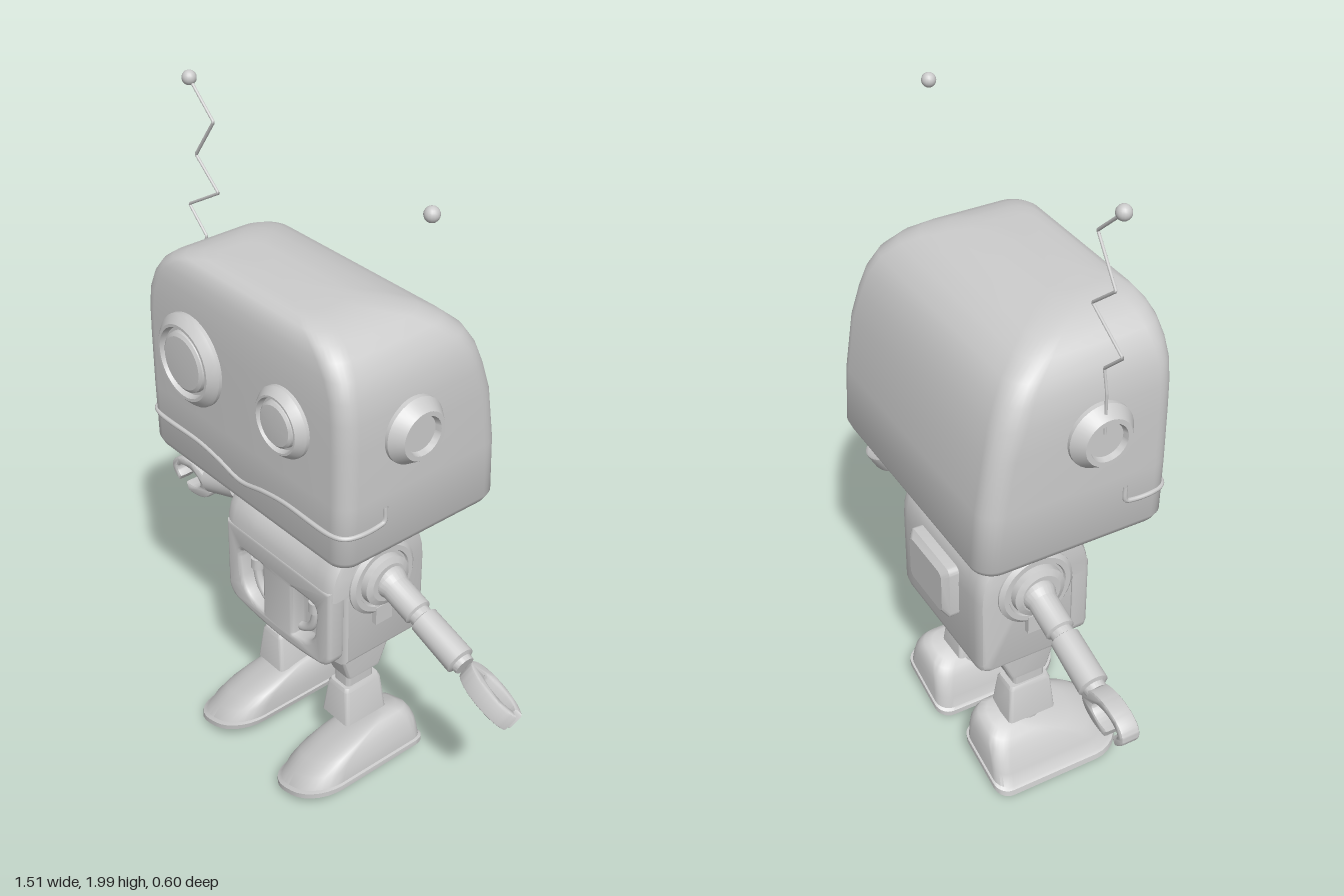
import * as THREE from 'three';
import { toCreasedNormals } from 'three/addons/utils/BufferGeometryUtils.js';

const MAT = new THREE.MeshStandardMaterial({ color: 0xcccccc, side: THREE.DoubleSide });
const CX = -0.017; // the body's own middle
const V = (x, y, z) => new THREE.Vector3(x, y, z);
const rad = THREE.MathUtils.degToRad;

function add(parent, name, geo, x = 0, y = 0, z = 0, crease = 0.6) {
  const mesh = new THREE.Mesh(crease ? toCreasedNormals(geo, crease) : geo, MAT);
  mesh.name = name;
  mesh.position.set(x, y, z);
  parent.add(mesh);
  return mesh;
}

// Skin over closed rings of equal length, with capped ends
function loft(rings) {
  const n = rings[0].length, pos = [], idx = [];
  const mid = (r) => r.reduce((s, p) => s.add(p), V(0, 0, 0)).divideScalar(n);
  rings.flat().forEach((p) => pos.push(p.x, p.y, p.z));
  const last = (rings.length - 1) * n, c0 = rings.length * n;
  [mid(rings[0]), mid(rings[rings.length - 1])].forEach((p) => pos.push(p.x, p.y, p.z));
  for (let j = 0; j < n; j++) {
    const k = (j + 1) % n;
    for (let i = 0; i < last; i += n) idx.push(i + j, i + k, i + n + k, i + j, i + n + k, i + n + j);
    idx.push(c0, k, j, c0 + 1, last + j, last + k);
  }
  const geo = new THREE.BufferGeometry();
  geo.setAttribute('position', new THREE.Float32BufferAttribute(pos, 3));
  geo.setIndex(idx);
  return geo;
}

// Horizontal rounded-rectangle ring: half width, front z, back z, front and back corner radii
function slice(y, hw, zf, zb, rf, rb, dx = 0) {
  const pts = [], S = 7;
  const corners = [[1, zb, rb, 1], [-1, zb, rb, 1], [-1, zf, rf, -1], [1, zf, rf, -1]];
  corners.forEach(([sx, z, r, sz], q) => {
    for (let i = 0; i <= S; i++) {
      const a = (q + i / S) * Math.PI / 2;
      pts.push(V(dx + sx * (hw - r) + r * Math.cos(a), y, z + sz * r - r * Math.sin(a)));
    }
  });
  return pts;
}

const lathe = (pts, seg = 36) => new THREE.LatheGeometry(pts.map(([r, t]) => new THREE.Vector2(r, t)), seg);
const tube = (pts, r, seg = 60) => new THREE.TubeGeometry(new THREE.CatmullRomCurve3(pts), seg, r, 8);

function buildHead() {
  const head = new THREE.Group();
  head.name = 'head';
  const rows = [ // y, half width, front, back, corner radii
    [0.985, 0.39, 0.24, -0.27, 0.04, 0.05], [0.99, 0.405, 0.255, -0.285, 0.05, 0.06],
    [1.01, 0.415, 0.263, -0.293, 0.05, 0.06], [1.18, 0.418, 0.264, -0.282, 0.05, 0.06],
    [1.34, 0.418, 0.264, -0.257, 0.05, 0.06], [1.42, 0.416, 0.264, -0.236, 0.05, 0.07],
    [1.48, 0.408, 0.263, -0.214, 0.05, 0.07], [1.53, 0.391, 0.26, -0.184, 0.055, 0.07],
    [1.57, 0.363, 0.256, -0.138, 0.06, 0.07], [1.597, 0.327, 0.248, -0.09, 0.06, 0.07],
    [1.615, 0.285, 0.237, -0.03, 0.06, 0.07], [1.625, 0.24, 0.215, 0.02, 0.06, 0.06],
    [1.628, 0.2, 0.19, 0.05, 0.05, 0.05]];
  add(head, 'headShell', loft(rows.map((r) => slice(...r))), 0, 0, 0, 0.8);

  // Mouth line wrapping round to both cheeks
  const half = [[0.418, 1.145, 0.125], [0.418, 1.1, 0.128], [0.418, 1.093, 0.15], [0.418, 1.093, 0.21],
    [0.404, 1.093, 0.248], [0.37, 1.093, 0.264], [0.18, 1.091, 0.264], [0.1, 1.08, 0.264]];
  const path = [...half.map(([x, y, z]) => V(-x, y, z)), V(0, 1.06, 0.264),
    ...half.reverse().map(([x, y, z]) => V(x, y, z))];
  add(head, 'mouthLine', tube(path, 0.007, 160), 0, 0, 0, 0);

  // Eyes of unequal size
  for (const [name, x, R] of [['rightEye', -0.198, 0.132], ['leftEye', 0.192, 0.098]]) {
    const eye = lathe([[R, -0.02], [R, 0.012], [R * 0.95, 0.02], [R * 0.82, 0.035], [R * 0.76, 0.035],
      [R * 0.72, 0.018], [R * 0.66, 0.018], [R * 0.64, 0.03], [R * 0.57, 0.036], [0, 0.04]]);
    add(head, name, eye.rotateX(Math.PI / 2), x, 1.344, 0.262, 0.4);
  }

  // Ear caps
  for (const s of [1, -1]) {
    const ear = lathe([[0.095, -0.02], [0.093, 0.012], [0.068, 0.047], [0.055, 0.047], [0.05, 0.03], [0, 0.03]]);
    add(head, s > 0 ? 'leftEar' : 'rightEar', ear.rotateZ(-s * Math.PI / 2), s * 0.415, 1.341, 0.04, 0.4);
  }
  return head;
}

function buildAntennas(g) {
  const zig = [[-0.462, 1.36], [-0.461, 1.48], [-0.446, 1.543], [-0.52, 1.612], [-0.383, 1.691],
    [-0.478, 1.77], [-0.393, 1.887], [-0.493, 1.977]].map(([x, y]) => V(x, y, 0.036));
  const wire = new THREE.CurvePath();
  zig.slice(1).forEach((p, i) => wire.add(new THREE.LineCurve3(zig[i], p)));
  add(g, 'antennaWire', new THREE.TubeGeometry(wire, 140, 0.0045, 6), 0, 0, 0, 0);
  const ball = () => new THREE.SphereGeometry(0.02, 16, 12);
  add(g, 'rightAntennaBall', ball(), -0.493, 1.978, 0.036, 0);
  add(g, 'leftAntennaBall', ball(), 0.432, 1.93, 0.038, 0);
}

function buildTorso() {
  const torso = new THREE.Group();
  torso.name = 'torso';
  // Side profile: arched top, with a step in front that the belly plate fills
  const profile = [[0.1, 0.465], [-0.18, 0.465], [-0.195, 0.475], [-0.2, 0.495]];
  for (let i = 0; i <= 16; i++) {
    const a = i / 16 * Math.PI;
    profile.push([-0.025 - 0.175 * Math.cos(a), 0.725 + 0.183 * Math.sin(a) ** 0.85]);
  }
  profile.push([0.1, 0.725]);
  const stations = [[-0.24, 0.9, 0], [-0.235, 0.95, 0], [-0.222, 0.985, 0], [-0.2, 1, 0], [-0.165, 1, 0], [-0.11, 1, 1]];
  const all = [...stations, ...stations.map(([x, s, d]) => [-x, s, d]).reverse()];
  const rings = all.map(([x, s, d]) => profile.map(([z, y]) => V(x,
    0.68 + (y - 0.68) * s - d * 0.025 * Math.max(0, (y - 0.78) / 0.13), -0.025 + (z + 0.025) * s)));
  add(torso, 'torsoShell', loft(rings));

  // Belly plate with two openings
  const plate = new THREE.Shape();
  plate.moveTo(-0.22, 0.74).lineTo(-0.22, 0.53).quadraticCurveTo(-0.22, 0.5, -0.19, 0.49)
    .quadraticCurveTo(0, 0.455, 0.19, 0.49).quadraticCurveTo(0.22, 0.5, 0.22, 0.53).lineTo(0.22, 0.74);
  for (const s of [1, -1]) {
    const hole = new THREE.Path();
    hole.moveTo(s * 0.055, 0.675).quadraticCurveTo(s * 0.055, 0.69, s * 0.075, 0.69)
      .lineTo(s * 0.15, 0.69).quadraticCurveTo(s * 0.188, 0.69, s * 0.186, 0.64)
      .lineTo(s * 0.178, 0.575).quadraticCurveTo(s * 0.165, 0.51, s * 0.1, 0.5)
      .lineTo(s * 0.07, 0.495).quadraticCurveTo(s * 0.055, 0.495, s * 0.055, 0.51).closePath();
    plate.holes.push(hole);
    // Pipe seen inside the opening
    const p = [[0.132, 0.7], [0.132, 0.6], [0.115, 0.555], [0.085, 0.53], [0.04, 0.52]];
    add(torso, 'bellyPipe', tube(p.map(([x, y]) => V(s * x, y, 0.115)), 0.014, 24), 0, 0, 0, 0);
    add(torso, 'pipeCollar', new THREE.CylinderGeometry(0.021, 0.021, 0.035, 16), s * 0.132, 0.635, 0.115);
  }
  add(torso, 'bellyPlate', new THREE.ExtrudeGeometry(plate, {
    depth: 0.03, bevelThickness: 0.014, bevelSize: 0.013, bevelSegments: 3, curveSegments: 8 }), 0, 0, 0.107);

  // Back pack panel
  const pack = [[0, 0.115, 0.088], [0.03, 0.115, 0.088], [0.046, 0.095, 0.07]]
    .map(([t, w, h]) => slice(t, w, h, -h, 0.02, 0.02));
  add(torso, 'backPanel', loft(pack).rotateX(-Math.PI / 2), 0, 0.688, -0.198, 0.3);

  // Neck rings
  add(torso, 'neckCore', new THREE.CylinderGeometry(0.036, 0.036, 0.14, 20), 0, 0.93, -0.01);
  for (let i = 0; i < 4; i++) {
    add(torso, 'neckRing', new THREE.TorusGeometry(0.036, 0.012, 10, 24).rotateX(Math.PI / 2), 0, 0.9 + i * 0.025, -0.01, 0);
  }
  return torso;
}

function buildArm(s) {
  const arm = new THREE.Group();
  arm.name = s > 0 ? 'leftArm' : 'rightArm';
  const disc = lathe([[0.117, 0], [0.117, 0.025], [0.105, 0.035], [0.09, 0.035], [0.087, 0.028], [0.08, 0.028],
    [0.078, 0.048], [0.06, 0.056], [0, 0.056]]);
  add(arm, 'shoulderDisc', disc.rotateZ(-s * Math.PI / 2), s * 0.22, 0.735, -0.03, 0.4);
  add(arm, 'shoulderTab', new THREE.BoxGeometry(0.035, 0.06, 0.06), s * 0.24, 0.615, -0.03);
  const limb = lathe([[0.05, 0], [0.05, 0.02], [0.042, 0.04], [0.042, 0.135], [0.033, 0.14], [0.033, 0.158],
    [0.042, 0.162], [0.044, 0.315], [0.032, 0.32], [0.03, 0.335], [0, 0.335]], 24);
  add(arm, 'limb', limb.rotateZ(-s * (Math.PI / 2 + rad(19))), s * 0.257, 0.737, -0.037, 0.4);
  return arm;
}

// Open gripper ring, thicker at the wrist; the gap is given by two angles in degrees
function claw(side, from, to, ry) {
  const c = new THREE.Shape();
  c.absellipse(0, 0, 0.095, ry, rad(from), rad(to), false);
  c.absellipse(side * 0.012, 0, 0.066, ry * 0.66, rad(to), rad(from), true);
  return new THREE.ExtrudeGeometry(c, { depth: 0.04, bevelSize: 0.005, bevelThickness: 0.008,
    bevelSegments: 2, curveSegments: 28 }).translate(0, 0, -0.02);
}

function buildLeg(s) {
  const leg = new THREE.Group();
  leg.name = s > 0 ? 'leftLeg' : 'rightLeg';
  leg.position.x = s * 0.155;
  const stack = (name, rows) => add(leg, name, loft(rows.map((r) => slice(...r, 0.012, 0.012))), 0, 0, 0, 0.5);
  stack('thigh', [[0.36, 0.041, 0.042, -0.077], [0.37, 0.042, 0.046, -0.081], [0.49, 0.042, 0.082, -0.132]]);
  stack('knee', [[0.3, 0.032, 0.04, -0.06], [0.37, 0.032, 0.04, -0.06]]);
  stack('shin', [[0.197, 0.058, 0.064, -0.09], [0.31, 0.044, 0.055, -0.08], [0.322, 0.038, 0.05, -0.075]]);
  add(leg, 'ankle', new THREE.CylinderGeometry(0.05, 0.05, 0.1, 24), 0, 0.16, -0.015);
  return leg;
}

// Shoe with a rounded toe, a sole rim and a hollow underside; lean shifts the upper sideways
function shoe(lean) {
  const rows = [[0.03, 0.1, 0.24, -0.15, 0.09, 0.03], [0, 0.115, 0.258, -0.165, 0.1, 0.04],
    [0, 0.125, 0.268, -0.175, 0.11, 0.045], [0.016, 0.125, 0.268, -0.175, 0.11, 0.045],
    [0.02, 0.117, 0.256, -0.17, 0.105, 0.045], [0.055, 0.11, 0.235, -0.168, 0.1, 0.045],
    [0.085, 0.101, 0.19, -0.165, 0.09, 0.045], [0.11, 0.09, 0.125, -0.16, 0.08, 0.05],
    [0.13, 0.076, 0.05, -0.15, 0.065, 0.05], [0.142, 0.055, -0.01, -0.13, 0.045, 0.045]];
  return loft(rows.map((r) => slice(...r, lean * r[0])));
}

export function createModel() {
  const g = new THREE.Group();
  g.name = 'robot';
  const body = new THREE.Group();
  body.name = 'body';
  body.position.x = CX;
  body.add(buildHead(), buildTorso());
  for (const s of [1, -1]) body.add(buildArm(s), buildLeg(s));
  g.add(body);
  buildAntennas(g);

  // Hands, each in its own pose
  add(g, 'rightHand', claw(-1, 262, 585, 0.052), -0.657, 0.604, -0.037);
  const leftHand = add(g, 'leftHand', claw(1, 22, 338, 0.043), 0.657, 0.592, -0.037);
  leftHand.rotation.set(rad(62), 0, rad(-22), 'ZYX');

  // Feet, both rolled the same way
  add(g, 'rightFoot', shoe(0.5), -0.205, 0.04, 0, 0.7).rotation.z = rad(16);
  add(g, 'leftFoot', shoe(0.3), 0.17, 0.04, 0, 0.7).rotation.z = rad(17);
  return g;
}
